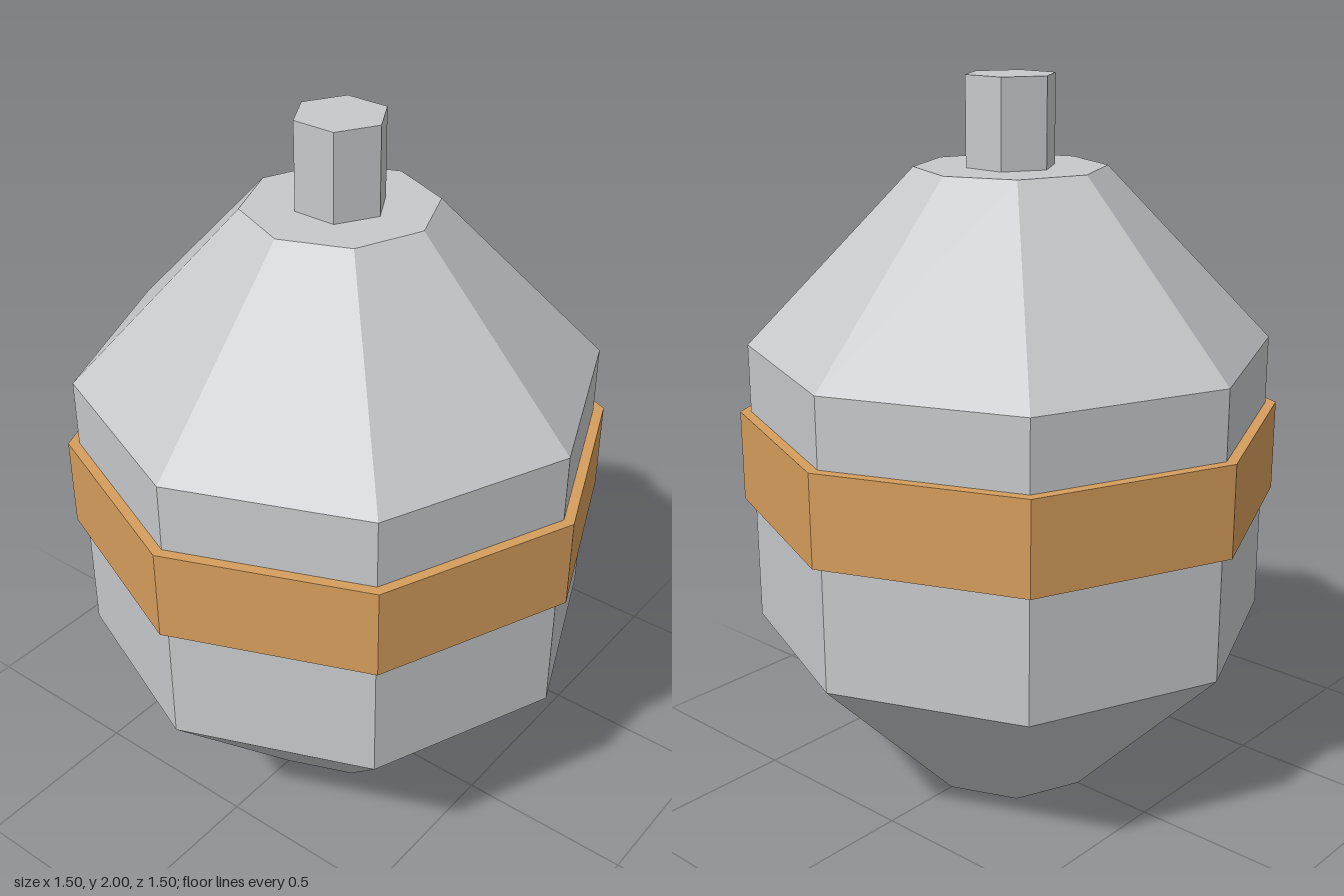
import * as THREE from 'three';

export function createModel() {
  const model = new THREE.Group();
  model.name = 'canister';

  const steel = new THREE.MeshStandardMaterial({ color: 0xc6c8cb });
  steel.name = 'light grey steel';
  const copper = new THREE.MeshStandardMaterial({ color: 0xd69d5c });
  copper.name = 'copper orange';

  // Faceted prism or frustum standing between two heights, with a corner on +z
  function section(name, material, bottomY, topY, bottomR, topR, sides, open = false) {
    const height = topY - bottomY;
    const geometry = new THREE.CylinderGeometry(topR, bottomR, height, sides, 1, open).toNonIndexed();
    geometry.computeVertexNormals();
    geometry.translate(0, bottomY + height / 2, 0);
    const mesh = new THREE.Mesh(geometry, material);
    mesh.name = name;
    model.add(mesh);
  }

  // Octagonal body: tapered base, straight wall, tapered shoulder
  section('lowerTaper', steel, 0, 0.48, 0.26, 0.72, 8);
  section('bodyWall', steel, 0.48, 1.28, 0.72, 0.72, 8, true);
  section('shoulder', steel, 1.28, 1.76, 0.72, 0.26, 8);

  // Raised coloured band around the middle
  section('band', copper, 0.835, 1.09, 0.75, 0.75, 8);

  // Hexagonal stem on top
  section('stem', steel, 1.76, 2, 0.125, 0.125, 6);

  return model;
}
